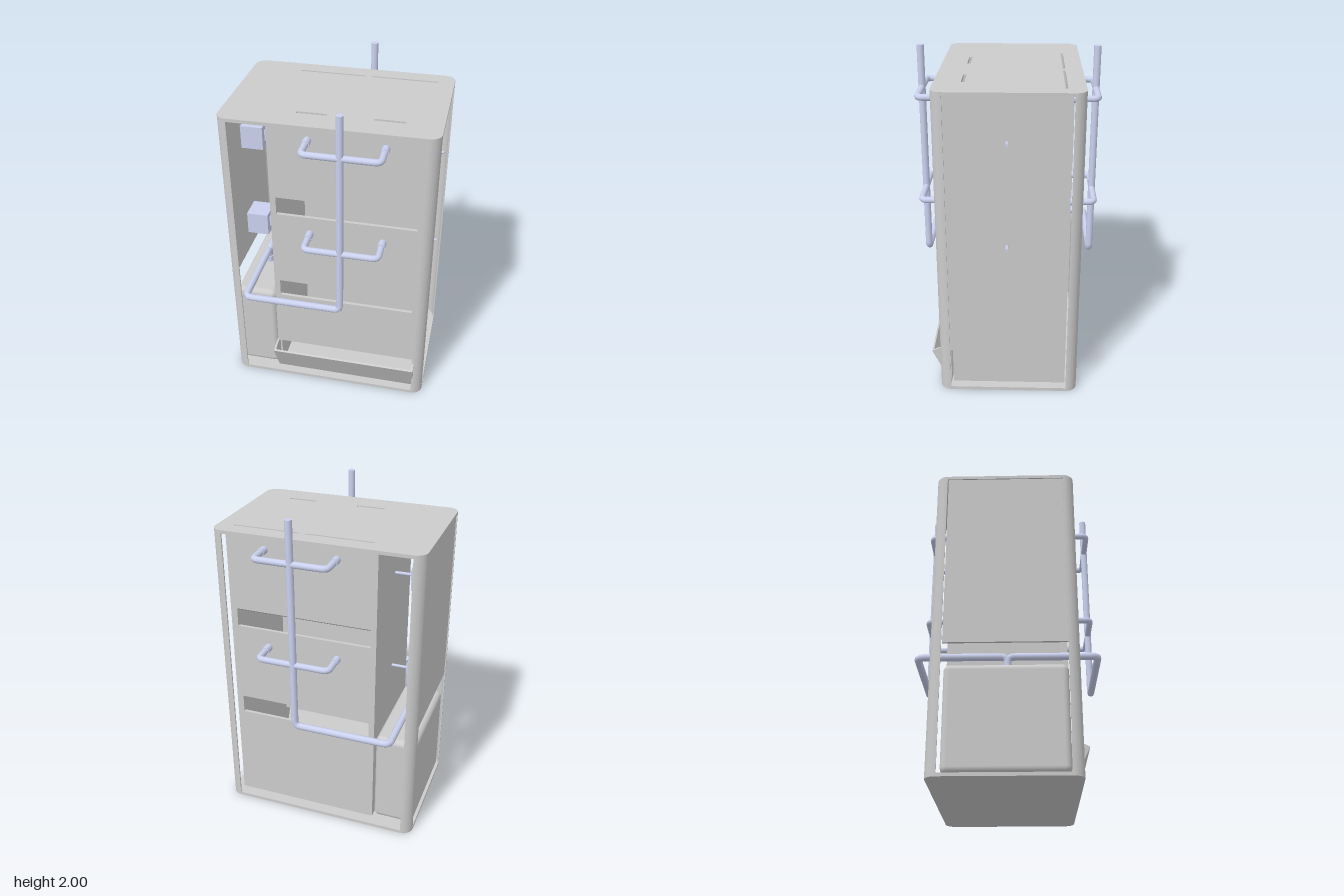
import * as THREE from 'three';
import { RoundedBoxGeometry } from 'three/addons/geometries/RoundedBoxGeometry.js';
import { toCreasedNormals } from 'three/addons/utils/BufferGeometryUtils.js';

const grey = new THREE.MeshStandardMaterial({ color: 0xcccccc, side: THREE.DoubleSide });
const metal = new THREE.MeshStandardMaterial({ color: 0xcad1ee, side: THREE.DoubleSide });
const V = (x, y, z) => new THREE.Vector3(x, y, z);

// Cabinet limits: outer plates and the inner body between them
const HX = 0.617, ZF = 0.4, ZB = -0.425, R = 0.065, H = 1.86, T = 0.02;
const BX0 = -0.345, BX1 = 0.56, BZ0 = -0.355, BZ1 = 0.345;

function add(group, name, geometry, material = grey) {
  const mesh = new THREE.Mesh(geometry, material);
  mesh.name = name;
  group.add(mesh);
  return mesh;
}

// Box given by its limits
function box(group, name, x0, x1, y0, y1, z0, z1, material) {
  const g = new THREE.BoxGeometry(x1 - x0, y1 - y0, z1 - z0);
  g.translate((x0 + x1) / 2, (y0 + y1) / 2, (z0 + z1) / 2);
  return add(group, name, g, material);
}

function rect(x0, x1, y0, y1) {
  return [[x0, y0], [x1, y0], [x1, y1], [x0, y1]].map(p => new THREE.Vector2(...p));
}

function extrude(shape, depth) {
  const g = new THREE.ExtrudeGeometry(shape, { depth, bevelEnabled: false, curveSegments: 12 });
  return toCreasedNormals(g, 0.6);
}

// Profile of [z, y] points extruded along x
function alongX(points, x0, x1) {
  const shape = new THREE.Shape(points.map(([z, y]) => new THREE.Vector2(-z, y)));
  return extrude(shape, x1 - x0).rotateY(Math.PI / 2).translate(x0, 0, 0);
}

// Horizontal plate with rounded corners and optional slots [x0, x1, z0, z1]
function plate(y, slots = []) {
  const s = new THREE.Shape();
  s.absarc(HX - R, -ZB - R, R, 0, Math.PI / 2);
  s.absarc(-HX + R, -ZB - R, R, Math.PI / 2, Math.PI);
  s.absarc(-HX + R, -ZF + R, R, Math.PI, Math.PI * 1.5);
  s.absarc(HX - R, -ZF + R, R, Math.PI * 1.5, Math.PI * 2);
  for (const [x0, x1, z0, z1] of slots) s.holes.push(new THREE.Path(rect(x0, x1, -z1, -z0)));
  return extrude(s, T).rotateX(-Math.PI / 2).translate(0, y, 0);
}

// Curved sheet corner post, swept through a quarter turn
function post(cx, cz, a) {
  const s = new THREE.Shape();
  s.absarc(0, 0, R, a, a + Math.PI / 2);
  s.absarc(0, 0, R - 0.01, a + Math.PI / 2, a, true);
  return extrude(s, H - 2 * T).rotateX(-Math.PI / 2).translate(cx, T, cz);
}

// Wall with the two wide air slots
function slottedWall(y0, z) {
  const s = new THREE.Shape(rect(BX0, BX1, y0, H - T));
  for (const y of [0.63, 1.24]) s.holes.push(new THREE.Path(rect(-0.31, 0.52, y, y + 0.115)));
  return extrude(s, T).translate(0, 0, z);
}

// Pipe through points with rounded elbows
function pipe(points, radius = 0.021, bend = 0.035) {
  const path = new THREE.CurvePath();
  let from = points[0];
  for (let i = 1; i < points.length; i++) {
    const p = points[i], next = points[i + 1];
    if (!next) { path.add(new THREE.LineCurve3(from, p)); break; }
    const a = p.clone().add(from.clone().sub(p).setLength(bend));
    const b = p.clone().add(next.clone().sub(p).setLength(bend));
    path.add(new THREE.LineCurve3(from, a));
    path.add(new THREE.QuadraticBezierCurve3(a, p, b));
    from = b;
  }
  return new THREE.TubeGeometry(path, 110, radius, 16);
}

export function createModel() {
  const model = new THREE.Group();
  model.name = 'composter';

  // Outer frame: plates and corner posts
  add(model, 'bottomPlate', plate(0));
  add(model, 'topPlate', plate(H - T, [
    [-0.195, -0.025, 0.23, 0.25], [0.24, 0.41, 0.23, 0.25],
    [-0.31, 0.085, -0.325, -0.311], [0.125, 0.52, -0.325, -0.311],
  ]));
  [[1, ZB + R, 0], [-1, ZB + R, 1], [-1, ZF - R, 2], [1, ZF - R, 3]].forEach(([s, z, q]) =>
    add(model, 'cornerPost', post(s * (HX - R), z, q * Math.PI / 2)));

  // Inner body
  const body = new THREE.Group();
  body.name = 'body';
  model.add(body);
  add(body, 'frontWall', slottedWall(0.24, BZ1 - T));
  add(body, 'backWall', slottedWall(T, BZ0));
  box(body, 'leftWall', BX1 - T, BX1, T, H - T, BZ0 + T, BZ1 - T);
  box(body, 'rightWall', BX0, BX0 + T, T, H - T, BZ0 + T, BZ1 - T);
  box(body, 'chamberDivider', 0.1, 0.11, 1.35, H - T, BZ0 + T, BZ1 - T);
  box(model, 'sidePanel', -0.61, -0.595, 0.75, H - T, BZ0, BZ1 - 0.01);

  // Curved trough floors under the two chambers
  const rad = 0.575, half = 0.62;
  for (const y of [0.63, 1.24]) {
    const pts = [];
    for (let side = 0; side < 2; side++) {
      for (let i = 0; i <= 20; i++) {
        const a = (side ? 1 : -1) * (1 - i / 10) * half, r = rad - side * 0.01;
        pts.push([-0.005 + r * Math.sin(a), y + rad - r * Math.cos(a)]);
      }
    }
    add(body, 'troughFloor', alongX(pts, BX0 + T, BX1 - T));
  }

  // Tilted discharge tray
  const tray = new THREE.Group();
  tray.name = 'dischargeTray';
  model.add(tray);
  add(tray, 'trayFront', alongX([[0.335, T], [0.347, T], [0.45, 0.235], [0.439, 0.241]], BX0, BX1));
  for (const x of [BX0, BX1 - 0.012])
    add(tray, 'traySide', alongX([[0.335, T], [0.347, T], [0.45, 0.235], [0.41, 0.255], [0.335, 0.255]], x, x + 0.012));

  // Water tank with neck
  add(model, 'waterTank', new RoundedBoxGeometry(0.255, 0.605, 0.68, 5, 0.035).translate(-0.4775, 0.3225, -0.005));
  add(model, 'tankNeck', new THREE.CylinderGeometry(0.026, 0.026, 0.05, 20).translate(-0.483, 0.64, 0), metal);

  // Motors and the shafts that cross the chambers
  for (const y of [0.95, 1.57]) {
    const motor = new THREE.Group();
    motor.name = 'motor';
    model.add(motor);
    box(motor, 'motorHousing', -0.595, -0.46, y - 0.07, y + 0.075, -0.08, 0.07, metal);
    box(motor, 'motorFlange', -0.46, -0.445, y - 0.025, y + 0.04, -0.04, 0.03, metal);
    const shaft = new THREE.CylinderGeometry(0.009, 0.009, 1.055, 12).rotateZ(Math.PI / 2);
    add(motor, 'shaft', shaft.translate(0.0825, y, -0.005), metal);
  }

  // Pipework, mirrored front and back
  for (const s of [1, -1]) {
    const pipes = new THREE.Group();
    pipes.name = s > 0 ? 'frontPipes' : 'backPipes';
    model.add(pipes);
    const z = s * 0.505, wall = s > 0 ? BZ1 - 0.01 : BZ0 + 0.01, x = 0.105;
    add(pipes, 'riser', pipe([V(x, 2, z), V(x, 0.715, z), V(-0.483, 0.715, z), V(-0.483, 0.715, 0), V(-0.483, 0.64, 0)]), metal);
    add(pipes, 'riserCap', new THREE.CircleGeometry(0.021, 16).rotateX(-Math.PI / 2).translate(x, 2, z), metal);
    for (const y of [1.13, 1.75]) {
      add(pipes, 'crossPipe', pipe([V(-0.11, y, wall), V(-0.11, y, z), V(0.324, y, z), V(0.324, y, wall)], 0.019), metal);
      for (const ex of [-0.11, 0.324])
        add(pipes, 'collar', new THREE.CylinderGeometry(0.023, 0.023, 0.06, 16)
          .rotateX(Math.PI / 2).translate(ex, y, wall + s * 0.035), metal);
    }
  }
  return model;
}
